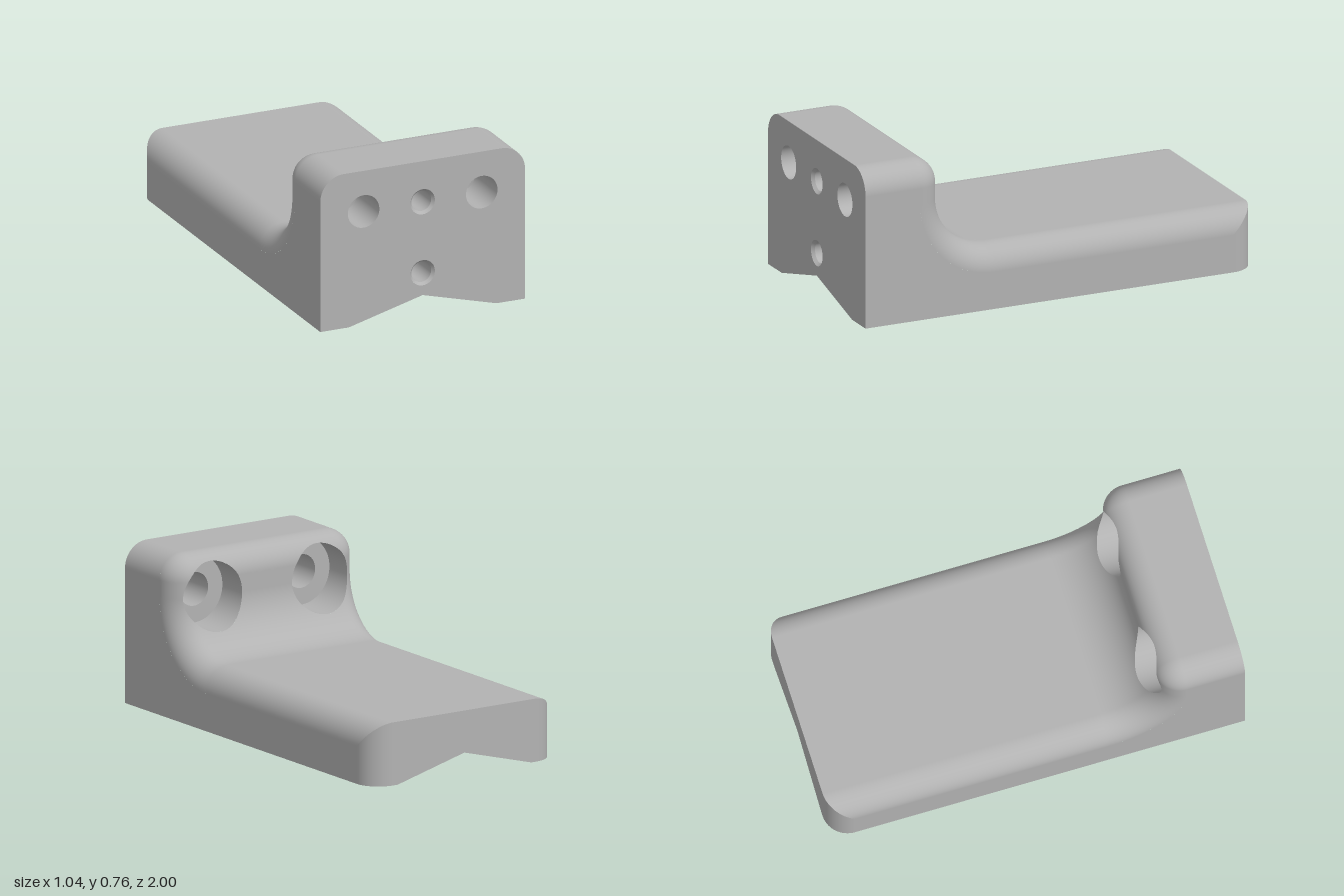
import * as THREE from 'three';

const HALF = 0.52, R = 0.12, FLAT = HALF - R;   // half width, edge rounding
const WMAX = FLAT + R * Math.PI / 2;            // width measured along the rounded surface
const FILLET = 0.26, FZ = 0.34, FY = 0.56;      // inner fillet radius and centre
const S1 = FILLET * Math.PI / 2, S2 = S1 + 0.08, S3 = S2 + R * Math.PI / 2;
const HOLE = { x: 0.3, y: 0.56, r: 0.08, bore: 0.16, floor: 0.76 };
const DRILLS = [0.56, 0.21], DRILL_R = 0.062;
const GROOVE = 0.375, GROOVE_H = 0.1;

// Position across the width: x, inward offset d and the tilt of the normal
function across(w) {
  const t = Math.max(0, Math.abs(w) - FLAT) / R, sg = Math.sign(w);
  const x = t > 0 ? sg * (FLAT + R * Math.sin(t)) : w;
  return { x, d: R * (1 - Math.cos(t)), sin: sg * Math.sin(t), cos: Math.cos(t) };
}

// Point and normal on the inner wall: fillet, short flat, rounded top edge
function wallPoint(w, s) {
  const e = across(w);
  let a = 0, z = 0.6 + e.d, y = FY + s - S1;
  if (s < S1) {
    a = (S1 - s) / FILLET;
    z = FZ + (FILLET + e.d) * Math.cos(a);
    y = FY - (FILLET + e.d) * Math.sin(a);
  } else if (s > S2) {
    a = (s - S2) / R;
    z = 0.72 - (R - e.d) * Math.cos(a);
    y = 0.64 + (R - e.d) * Math.sin(a);
  }
  return { p: [e.x, y, z], n: [e.sin, e.cos * Math.sin(a), -e.cos * Math.cos(a)] };
}

// Surface coordinates of the wall point that lies behind (x, y)
function wallCoords(x, y) {
  const w = x > FLAT ? FLAT + R * Math.asin((x - FLAT) / R) : x;
  const d = across(w).d;
  let s = S1 + y - FY;
  if (y < FY) s = S1 - FILLET * Math.asin((FY - y) / (FILLET + d));
  else if (y > 0.64) s = S2 + R * Math.asin(Math.min(1, (y - 0.64) / (R - d)));
  return [w, s];
}

// Grid surface from fn(u, v) -> { p, n }, wound to agree with its normals
function surface(fn, nu, nv) {
  const pos = [], nor = [], idx = [];
  for (let j = 0; j <= nv; j++) for (let i = 0; i <= nu; i++) {
    const q = fn(i / nu, j / nv);
    pos.push(...q.p);
    nor.push(...q.n);
  }
  const V = (arr, i) => new THREE.Vector3().fromArray(arr, i * 3);
  const tri = (a, b, c) => {
    const A = V(pos, a);
    const face = V(pos, b).sub(A).cross(V(pos, c).sub(A));
    if (face.lengthSq() < 1e-18) return;
    const n = V(nor, a).add(V(nor, b)).add(V(nor, c));
    if (face.dot(n) > 0) idx.push(a, b, c); else idx.push(a, c, b);
  };
  for (let j = 0; j < nv; j++) for (let i = 0; i < nu; i++) {
    const a = j * (nu + 1) + i, c = a + nu + 1;
    tri(a, a + 1, c + 1);
    tri(a, c + 1, c);
  }
  const g = new THREE.BufferGeometry();
  g.setAttribute('position', new THREE.Float32BufferAttribute(pos, 3));
  g.setAttribute('normal', new THREE.Float32BufferAttribute(nor, 3));
  g.setIndex(idx);
  return g;
}

const lerp = THREE.MathUtils.lerp;
const bottomY = x => GROOVE_H * Math.max(0, 1 - Math.abs(x) / GROOVE);

export function createModel() {
  const group = new THREE.Group();
  const material = new THREE.MeshStandardMaterial({ color: 0xb2b2b2 });
  material.name = 'machined grey';
  const add = (name, geometry) => {
    const m = new THREE.Mesh(geometry, material);
    m.name = name;
    group.add(m);
    return m;
  };

  // Flat tops with rounded side edges
  const topStrip = (top, zBack, zFront) => surface((u, v) => {
    const e = across(lerp(-WMAX, WMAX, u));
    return { p: [e.x, top - e.d, lerp(zBack(e.d), zFront, v)], n: [e.sin, e.cos, 0] };
  }, 112, 1);
  add('plateTop', topStrip(0.3, d => d - 1, FZ));
  add('uprightTop', topStrip(0.76, () => 0.72, 1));

  // Back end with rounded vertical corners
  add('plateBack', surface((u, v) => {
    const e = across(lerp(-WMAX, WMAX, u));
    return { p: [e.x, lerp(bottomY(e.x), 0.3 - e.d, v), e.d - 1], n: [e.sin, 0, -e.cos] };
  }, 112, 1));

  // Underside with its shallow V groove
  const edges = [-WMAX, -GROOVE, 0, GROOVE, WMAX];
  for (let k = 0; k < 4; k++) {
    const slope = [0, 1, -1, 0][k] * GROOVE_H / GROOVE, len = Math.hypot(1, slope);
    add('underside', surface((u, v) => {
      const e = across(lerp(edges[k], edges[k + 1], u));
      return { p: [e.x, bottomY(e.x), lerp(e.d - 1, 1, v)], n: [slope / len, -1 / len, 0] };
    }, 24, 1));
  }

  // Front face, pierced by two through holes and two drilled holes
  const front = new THREE.Shape();
  front.moveTo(-HALF, 0).lineTo(-GROOVE, 0).lineTo(0, GROOVE_H).lineTo(GROOVE, 0).lineTo(HALF, 0);
  front.lineTo(HALF, 0.64).absarc(FLAT, 0.64, R, 0, Math.PI / 2, false);
  front.lineTo(-FLAT, 0.76).absarc(-FLAT, 0.64, R, Math.PI / 2, Math.PI, false);
  const pierce = (x, y, r) => front.holes.push(new THREE.Path().absarc(x, y, r, 0, Math.PI * 2, true));
  for (const sx of [-1, 1]) pierce(sx * HOLE.x, HOLE.y, HOLE.r);
  for (const y of DRILLS) pierce(0, y, DRILL_R);
  add('frontFace', new THREE.ShapeGeometry(front, 32)).position.z = 1;

  // Side faces, drawn as (-z, y) and turned outwards
  const side = new THREE.Shape();
  side.moveTo(-1, 0).lineTo(0.88, 0).lineTo(0.88, 0.18).lineTo(-FZ, 0.18);
  side.absarc(-FZ, FY, FILLET + R, -Math.PI / 2, -Math.PI, true);
  side.lineTo(-0.72, 0.64).lineTo(-1, 0.64);
  const left = new THREE.ShapeGeometry(side, 32).rotateY(Math.PI / 2).translate(HALF, 0, 0);
  add('leftSide', left);
  // Mirror in x, then reverse the corner order
  const right = left.clone().scale(-1, 1, 1);
  const ix = right.index.array;
  for (let i = 0; i < ix.length; i += 3) [ix[i + 1], ix[i + 2]] = [ix[i + 2], ix[i + 1]];
  right.computeVertexNormals();
  add('rightSide', right);

  // Ring of a turned hole from (r0, z0) to (r1, z1); z1 may vary with angle
  const ring = (cx, cy, r0, z0, r1, z1) => {
    const end = typeof z1 === 'function' ? z1 : () => z1;
    return surface((u, v) => {
      const a = u * Math.PI * 2, c = Math.cos(a), s = Math.sin(a), r = lerp(r0, r1, v);
      const dz = end(a) - z0, dr = r1 - r0, l = Math.hypot(dr, dz);
      return { p: [cx + r * c, cy + r * s, lerp(z0, end(a), v)], n: [c * dz / l, s * dz / l, -dr / l] };
    }, 96, 1);
  };

  for (const sx of [-1, 1]) {
    // Half of the inner wall, spread between the counterbore rim and its border
    add('innerWall', surface((u, v) => {
      const k = Math.min(3, Math.floor(u * 4 + 1e-9)), f = u * 4 - k;
      const w1 = WMAX * [f, 1, 1 - f, 0][k], s1 = S3 * [0, f, 1, 1 - f][k];
      const a = Math.atan2(s1 - S1, w1 - HOLE.x);
      const [w0, s0] = wallCoords(HOLE.x + HOLE.bore * Math.cos(a), HOLE.y + HOLE.bore * Math.sin(a));
      const q = wallPoint(lerp(w0, w1, v), lerp(s0, s1, v));
      q.p[0] *= sx;
      q.n[0] *= sx;
      return q;
    }, 160, 16));

    // Through hole, counterbore floor and counterbore wall
    const cx = sx * HOLE.x;
    const rim = a => wallPoint(...wallCoords(HOLE.x + sx * HOLE.bore * Math.cos(a),
      HOLE.y + HOLE.bore * Math.sin(a))).p[2];
    add('throughHole', ring(cx, HOLE.y, HOLE.r, 1, HOLE.r, HOLE.floor));
    add('counterboreFloor', ring(cx, HOLE.y, HOLE.r, HOLE.floor, HOLE.bore, HOLE.floor));
    add('counterboreWall', ring(cx, HOLE.y, HOLE.bore, HOLE.floor, HOLE.bore, rim));
  }

  // Drilled holes: chamfer, bore and conical end
  const drill = [[DRILL_R, 1], [0.05, 0.985], [0.05, 0.8], [0, 0.77]];
  for (const y of DRILLS) for (let i = 0; i < 3; i++)
    add(['drillChamfer', 'drillBore', 'drillTip'][i], ring(0, y, ...drill[i], ...drill[i + 1]));

  return group;
}
